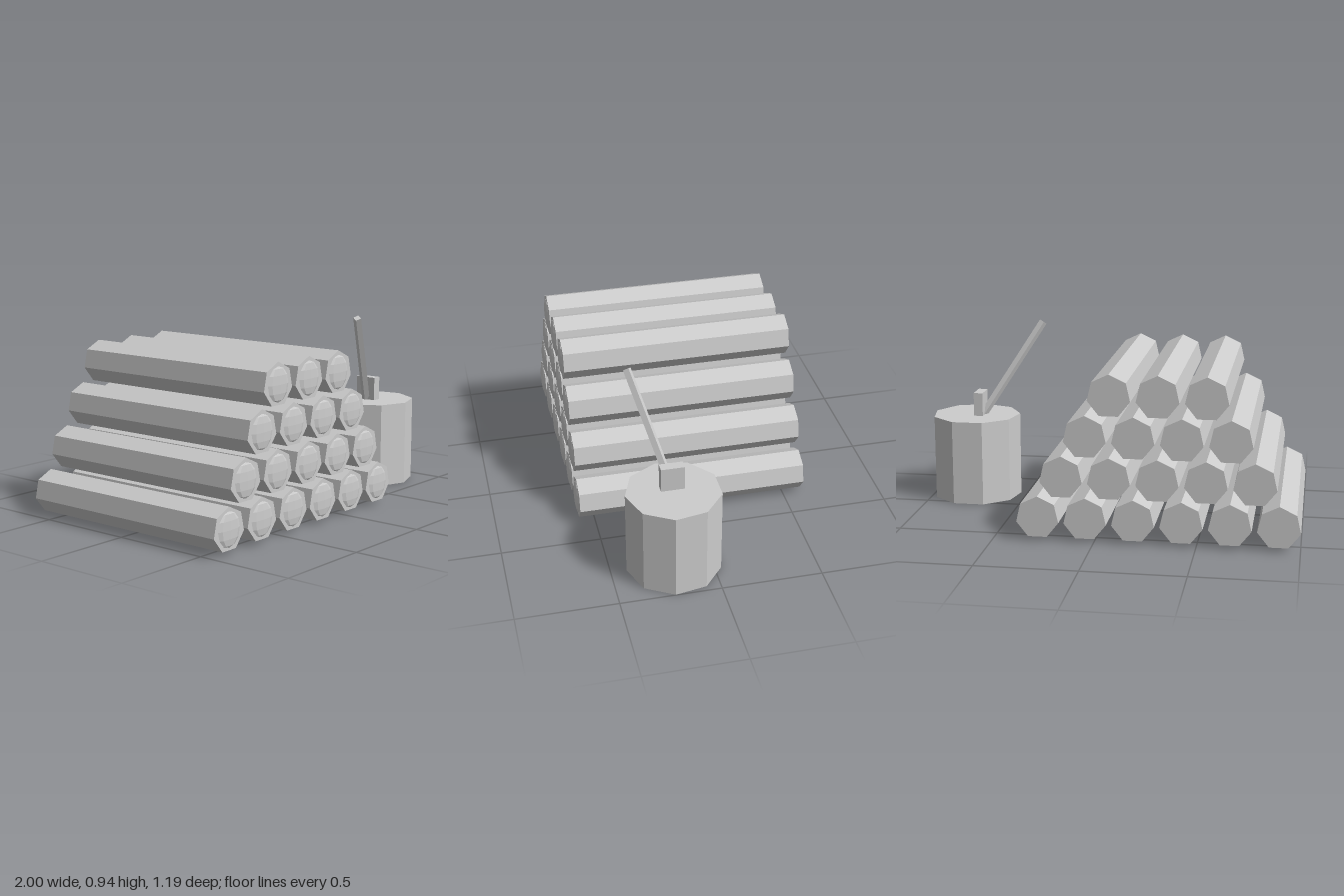
import * as THREE from 'three';

export function createModel() {
  const model = new THREE.Group();
  model.name = 'woodpile';
  const grey = new THREE.MeshStandardMaterial({ color: 0xcccccc, flatShading: true });
  grey.name = 'plain grey';

  const add = (parent, name, geometry, x, y, z) => {
    const mesh = new THREE.Mesh(geometry, grey);
    mesh.name = name;
    mesh.position.set(x, y, z);
    parent.add(mesh);
    return mesh;
  };

  // Stacked seven-sided logs, each with a slightly domed cut face at the front
  const logGeometry = new THREE.CylinderGeometry(0.107, 0.107, 1.173, 7).rotateX(-Math.PI / 2);
  const capGeometry = new THREE.SphereGeometry(1, 8, 6).scale(0.076, 0.085, 0.013);
  const pile = new THREE.Group();
  pile.name = 'logPile';
  model.add(pile);
  for (let row = 0; row < 4; row++) {
    for (let i = 0; i < 6 - row; i++) {
      const log = new THREE.Group();
      log.name = 'log';
      log.position.set(-0.896 + row * 0.1173 + i * 0.2346, 0.118 + row * 0.205, 0);
      add(log, 'logBody', logGeometry, 0, 0, -0.0065);
      add(log, 'cutFace', capGeometry, 0, 0, 0.58);
      pile.add(log);
    }
  }

  // Nine-sided chopping block
  add(model, 'choppingBlock', new THREE.CylinderGeometry(0.2345, 0.2345, 0.445, 9), 0.767, 0.2225, 0.187);

  // Axe stuck in the block
  const axe = new THREE.Group();
  axe.name = 'axe';
  model.add(axe);
  add(axe, 'axeHead', new THREE.BoxGeometry(0.048, 0.15, 0.116), 0.744, 0.494, 0.189);

  // Handle leans outwards and towards the front
  const start = new THREE.Vector3(0.728, 0.445, 0.188);
  const end = new THREE.Vector3(0.425, 0.932, 0.335);
  const along = end.clone().sub(start);
  const length = along.length();
  along.normalize();
  const across = new THREE.Vector3(0.75, 0.33, 0.45);
  across.addScaledVector(along, -across.dot(along)).normalize();
  const side = across.clone().cross(along);
  const mid = start.clone().add(end).multiplyScalar(0.5);
  const handle = add(axe, 'axeHandle', new THREE.BoxGeometry(0.03, length, 0.03), mid.x, mid.y, mid.z);
  handle.quaternion.setFromRotationMatrix(new THREE.Matrix4().makeBasis(across, along, side));

  return model;
}
